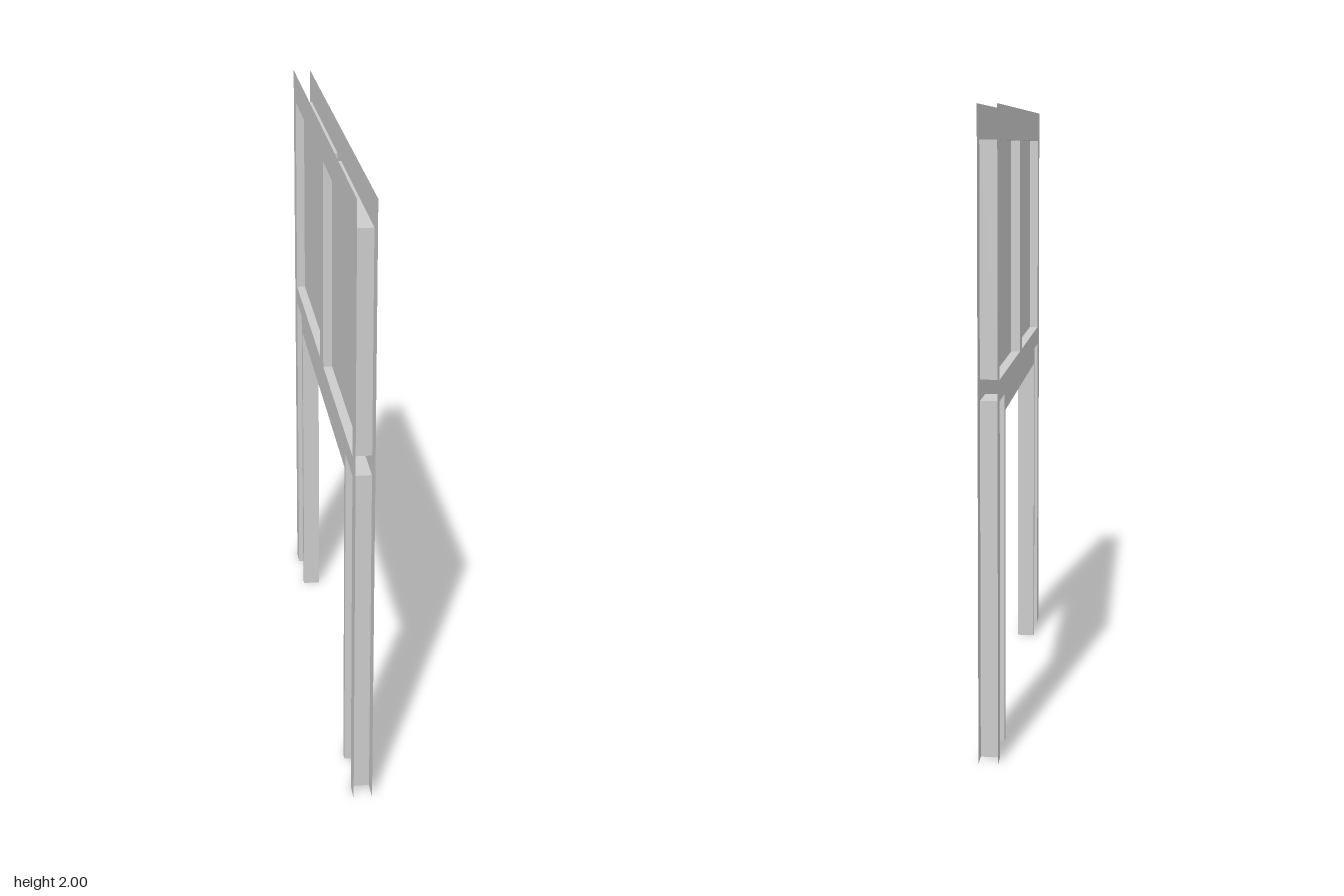
import * as THREE from 'three';

const HALF = 0.03;                                   // half thickness of the wall
const W = 0.87, H = 2;                               // half width along z, height
const DOOR = { z: 0.61, y: 1.06 };                   // opening
const UPPER = { z0: 0.05, z1: 0.8, y0: 1.18, y1: 1.895 };
const LEG = { z0: 0.64, z1: 0.8, y0: 0, y1: 1.115 };

const material = new THREE.MeshStandardMaterial({ color: 0xcccccc, side: THREE.DoubleSide });

function add(parent, name, geometry) {
  const mesh = new THREE.Mesh(geometry, material);
  mesh.name = name;
  parent.add(mesh);
  return mesh;
}

// Strip across the wall thickness, between two (z, y) points
function strip(parent, name, [za, ya], [zb, yb]) {
  const geo = new THREE.PlaneGeometry(2 * HALF, Math.hypot(zb - za, yb - ya));
  geo.rotateX(Math.atan2(zb - za, yb - ya));
  geo.translate(0, (ya + yb) / 2, (za + zb) / 2);
  return add(parent, name, geo);
}

// Face sheet outline: leg recesses are open at the floor, upper recesses are holes
function skinShape() {
  const half = [
    [W, H], [W, 0], [LEG.z1, 0], [LEG.z1, LEG.y1], [LEG.z0, LEG.y1],
    [LEG.z0, 0], [DOOR.z, 0], [DOOR.z, DOOR.y],
  ];
  const mirrored = half.map(([z, y]) => [-z, y]).reverse();
  const shape = new THREE.Shape([...half, ...mirrored].map(p => new THREE.Vector2(...p)));
  for (const s of [1, -1]) {
    const { z0, z1, y0, y1 } = UPPER;
    shape.holes.push(new THREE.Path(
      [[z0, y0], [z1, y0], [z1, y1], [z0, y1]].map(([z, y]) => new THREE.Vector2(s * z, y))));
  }
  return shape;
}

// Recessed panel on the mid plane with its surrounding reveals
function recess(name, { z0, z1, y0, y1 }, s, openBottom) {
  const group = new THREE.Group();
  group.name = name;
  const panel = new THREE.PlaneGeometry(z1 - z0, y1 - y0);
  panel.rotateY(Math.PI / 2).translate(0, (y0 + y1) / 2, s * (z0 + z1) / 2);
  add(group, 'panel', panel);
  strip(group, 'innerReveal', [s * z0, y0], [s * z0, y1]);
  strip(group, 'outerReveal', [s * z1, y0], [s * z1, y1]);
  strip(group, 'topReveal', [s * z0, y1], [s * z1, y1]);
  if (!openBottom) strip(group, 'bottomReveal', [s * z0, y0], [s * z1, y0]);
  return group;
}

export function createModel() {
  const model = new THREE.Group();
  model.name = 'panelledDoorway';

  // Two face sheets, open along the outer edges
  for (const s of [1, -1]) {
    const geo = new THREE.ShapeGeometry(skinShape());
    geo.rotateY(s * Math.PI / 2).translate(s * HALF, 0, 0);
    add(model, s > 0 ? 'leftFace' : 'rightFace', geo);
  }

  // Recessed panels and door jambs, mirrored front to back
  for (const s of [1, -1]) {
    const end = s > 0 ? 'front' : 'back';
    model.add(recess(end + 'UpperPanel', UPPER, s, false));
    model.add(recess(end + 'LegPanel', LEG, s, true));
    strip(model, end + 'Jamb', [s * DOOR.z, 0], [s * DOOR.z, DOOR.y]);
  }
  strip(model, 'lintelSoffit', [-DOOR.z, DOOR.y], [DOOR.z, DOOR.y]);

  return model;
}
